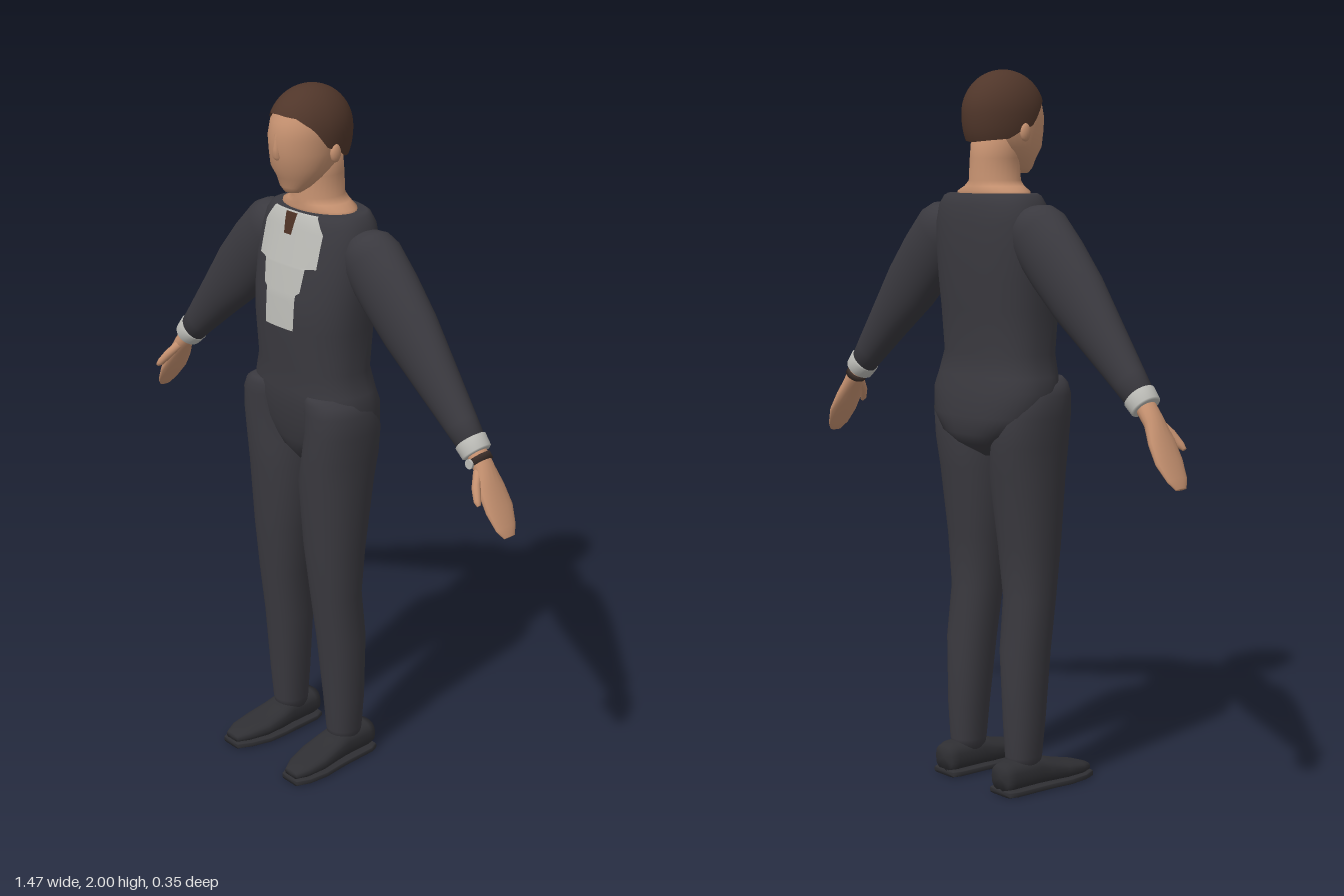
import * as THREE from 'three';

const mat = (name, color, side = THREE.FrontSide) => {
  const m = new THREE.MeshStandardMaterial({ color, side });
  m.name = name;
  return m;
};

// Point on a superellipse ring; row = [y, x, z, radiusX, radiusZ]
function ringPoint([y, x, z, rx, rz], a, n) {
  const p = (v) => Math.sign(v) * Math.abs(v) ** (2 / n);
  return [x + rx * p(Math.sin(a)), y, z + rz * p(Math.cos(a))];
}

// Skin a closed body through rows of rising y; s = -1 mirrors it in x
function loft(rows, { n = 2, s = 1, sides = 28 } = {}) {
  const pos = [], idx = [];
  const rr = rows.map(([y, x, z, rx, rz]) => [y, x * s, z, rx, rz]);
  for (const r of rr)
    for (let j = 0; j < sides; j++) pos.push(...ringPoint(r, (j / sides) * Math.PI * 2, n));
  for (let i = 0; i < rr.length - 1; i++)
    for (let j = 0; j < sides; j++) {
      const a = i * sides + j, b = i * sides + ((j + 1) % sides);
      idx.push(a, b, b + sides, a, b + sides, a + sides);
    }
  const last = (rr.length - 1) * sides, c = rr.length * sides;
  const lo = rr[0], hi = rr[rr.length - 1];
  pos.push(lo[1], lo[0], lo[2], hi[1], hi[0], hi[2]);
  for (let j = 0; j < sides; j++) {
    const k = (j + 1) % sides;
    idx.push(c, k, j, c + 1, last + j, last + k);
  }
  return build(pos, idx);
}

function build(pos, idx) {
  const g = new THREE.BufferGeometry();
  g.setAttribute('position', new THREE.Float32BufferAttribute(pos, 3));
  g.setIndex(idx);
  g.computeVertexNormals();
  return g;
}

// Piecewise linear lookup of table rows by their first column
function lookup(table, v) {
  let i = 0;
  while (i < table.length - 2 && v > table[i + 1][0]) i++;
  const a = table[i], b = table[i + 1];
  const t = THREE.MathUtils.clamp((v - a[0]) / (b[0] - a[0]), 0, 1);
  return a.map((q, k) => q + (b[k] - q) * t);
}

const TORSO_N = 2.4;
const TORSO = [
  [0.94, 0, -0.03, 0.02, 0.05], [0.98, 0, -0.05, 0.09, 0.1], [1.01, 0, -0.055, 0.15, 0.115],
  [1.06, 0, -0.05, 0.198, 0.124], [1.13, 0, -0.04, 0.207, 0.126], [1.17, 0, -0.035, 0.196, 0.12],
  [1.23, 0, -0.03, 0.178, 0.115], [1.35, 0, -0.03, 0.184, 0.125], [1.43, 0, -0.035, 0.19, 0.126],
  [1.52, 0, -0.044, 0.193, 0.121], [1.59, 0, -0.052, 0.188, 0.112], [1.635, 0, -0.055, 0.177, 0.104],
  [1.66, 0, -0.055, 0.158, 0.096], [1.666, 0, -0.055, 0.145, 0.088],
];

// Thin panel lying on the chest; outline = [y, halfWidth] with rising y
function chestPanel(outline, lift, cols = 12) {
  const pos = [], idx = [], w = cols + 1;
  const ys = new Set(outline.map((o) => o[0]));
  TORSO.forEach((r) => r[0] > outline[0][0] && r[0] < outline[outline.length - 1][0] && ys.add(r[0]));
  const list = [...ys].sort((a, b) => a - b);
  list.forEach((y, i) => {
    const half = lookup(outline, y)[1], [, , z, rx, rz] = lookup(TORSO, y);
    for (let j = 0; j <= cols; j++) {
      const x = half * ((2 * j) / cols - 1);
      pos.push(x, y, z + lift + rz * (1 - Math.abs(x / rx) ** TORSO_N) ** (1 / TORSO_N));
      if (i && j) {
        const d = i * w + j;
        idx.push(d - w - 1, d - w, d, d - w - 1, d, d - 1);
      }
    }
  });
  return build(pos, idx);
}

// Hair cap: a rounded shell whose lower edge drops from brow to nape
function hairCap() {
  const g = new THREE.SphereGeometry(1, 48, 20);
  const p = g.attributes.position, uv = g.attributes.uv;
  const edge = [[0, 64], [35, 67], [60, 82], [80, 108], [95, 112], [115, 126], [180, 132]];
  for (let i = 0; i < p.count; i++) {
    const az = uv.getX(i) * Math.PI * 2 - Math.PI;
    const th = (1 - uv.getY(i)) * THREE.MathUtils.degToRad(lookup(edge, Math.abs(az) * 180 / Math.PI)[1]);
    const r = th > Math.PI / 2 ? Math.sin(th) ** 0.45 : Math.sin(th);
    p.setXYZ(i, 0.1 * r * Math.sin(az), 1.882 + 0.118 * Math.cos(th), -0.016 + 0.124 * r * Math.cos(az));
  }
  // poles collapse in the sphere index, so rebuild the faces as a plain grid
  const idx = [];
  for (let i = 0; i < 20; i++)
    for (let j = 0; j < 48; j++) {
      const a = i * 49 + j;
      idx.push(a, a + 49, a + 50, a, a + 50, a + 1);
    }
  g.setIndex(idx);
  g.computeVertexNormals();
  return g;
}

export function createModel() {
  const suit = mat('suit charcoal', 0x3a393f), shoeMat = mat('shoe black', 0x2f2f33);
  const skin = mat('skin', 0xc4906f), hairMat = mat('hair brown', 0x50362a, THREE.DoubleSide);
  const linen = mat('shirt grey', 0xbcbcb7, THREE.DoubleSide);
  const tieMat = mat('tie brown', 0x4b3023, THREE.DoubleSide), strap = mat('strap dark', 0x3b2f2a);

  const model = new THREE.Group();
  model.name = 'man in suit';
  const add = (parent, name, geometry, material) => {
    const m = new THREE.Mesh(geometry, material);
    m.name = name;
    parent.add(m);
    return m;
  };
  const body = new THREE.Group();
  body.name = 'body';
  body.position.x = -0.012;
  model.add(body);

  // Jacket, shirt front and tie
  add(body, 'jacket', loft(TORSO, { n: TORSO_N, sides: 48 }), suit);
  add(body, 'shirtFront', chestPanel([[1.35, 0.056], [1.45, 0.058], [1.46, 0.072], [1.525, 0.08],
    [1.53, 0.114], [1.62, 0.115], [1.664, 0.085]], 0.004), linen);
  add(body, 'tie', chestPanel([[1.605, 0.014], [1.662, 0.022]], 0.009, 4), tieMat);

  // Neck with the bare collar area, head, nose and hair
  add(body, 'neck', loft([[1.64, 0, -0.05, 0.13, 0.08], [1.672, 0, -0.05, 0.122, 0.079],
    [1.685, 0, -0.048, 0.09, 0.077], [1.7, 0, -0.046, 0.067, 0.075],
    [1.76, 0, -0.047, 0.064, 0.071], [1.83, 0, -0.045, 0.062, 0.066]]), skin);
  add(body, 'head', loft([[1.72, 0, 0.045, 0.026, 0.022], [1.735, 0, 0.036, 0.045, 0.04],
    [1.76, 0, 0.022, 0.064, 0.06], [1.79, 0, 0.012, 0.082, 0.087], [1.83, 0, 0.002, 0.09, 0.102],
    [1.87, 0, 0, 0.093, 0.107], [1.91, 0, -0.005, 0.092, 0.102], [1.95, 0, -0.012, 0.077, 0.084],
    [1.98, 0, -0.015, 0.04, 0.045]], { sides: 36 }), skin);
  add(body, 'nose', loft([[1.81, 0, 0.094, 0.008, 0.006], [1.822, 0, 0.1, 0.014, 0.012],
    [1.845, 0, 0.1, 0.01, 0.011], [1.885, 0, 0.098, 0.006, 0.007]], { sides: 12 }), skin);
  add(body, 'hair', hairCap(), hairMat);

  for (const s of [1, -1]) {
    const side = s > 0 ? 'left' : 'right';

    const ear = add(body, side + 'Ear', new THREE.SphereGeometry(1, 14, 10), skin);
    ear.scale.set(0.011, 0.025, 0.017);
    ear.position.set(s * 0.096, 1.83, -0.02);

    // Trouser leg
    add(body, side + 'Leg', loft([[0.07, 0.12, -0.046, 0.043, 0.05], [0.1, 0.12, -0.045, 0.048, 0.053],
      [0.2, 0.12, -0.043, 0.056, 0.06], [0.4, 0.115, -0.035, 0.069, 0.07], [0.55, 0.112, -0.016, 0.074, 0.071],
      [0.7, 0.108, -0.014, 0.087, 0.085], [0.9, 0.106, -0.02, 0.1, 0.106], [0.98, 0.119, -0.023, 0.092, 0.113],
      [1.06, 0.13, -0.022, 0.086, 0.114], [1.12, 0.128, -0.012, 0.085, 0.105],
      [1.15, 0.122, 0, 0.074, 0.091], [1.165, 0.118, 0.01, 0.05, 0.074]], { n: 2.2, s }), suit);

    // Shoe and sole, lofted heel to toe and then laid along z
    const shoe = new THREE.Group();
    shoe.name = side + 'Shoe';
    shoe.position.x = s * 0.123;
    body.add(shoe);
    const upper = [[-0.135, 0, -0.05, 0.036, 0.036], [-0.11, 0, -0.053, 0.045, 0.041],
      [-0.02, 0, -0.054, 0.049, 0.042], [0.02, 0, -0.047, 0.052, 0.035], [0.08, 0.004, -0.038, 0.055, 0.026],
      [0.14, 0.01, -0.032, 0.044, 0.019], [0.175, 0.012, -0.027, 0.026, 0.012]];
    const sole = upper.map(([z, x, , w], i) => [z + (i === 6 ? 0.005 : 0), x, -0.009, w + 0.007, 0.009]);
    add(shoe, 'shoeUpper', loft(upper, { n: 2.6, s }).rotateX(Math.PI / 2), shoeMat);
    add(shoe, 'shoeSole', loft(sole, { n: 6, s }).rotateX(Math.PI / 2), shoeMat);

    // Arm, built hanging down and swung outward
    const arm = new THREE.Group();
    arm.name = side + 'Arm';
    arm.position.set(s * 0.2 - 0.006, 1.555, -0.055);
    arm.rotation.z = s * 0.765;
    model.add(arm);
    add(arm, 'sleeve', loft([[-0.56, 0, 0, 0.043, 0.035], [-0.5, 0, 0, 0.05, 0.042], [-0.35, 0, 0, 0.071, 0.055],
      [-0.22, 0, 0, 0.092, 0.063], [-0.1, 0, 0, 0.098, 0.07], [0, 0, 0, 0.095, 0.074],
      [0.04, 0, 0, 0.078, 0.067], [0.065, 0, 0, 0.05, 0.05], [0.078, 0, 0, 0.02, 0.02]], { s }), suit);
    add(arm, 'cuff', loft([[-0.588, 0, 0, 0.036, 0.036], [-0.584, 0, 0, 0.042, 0.042],
      [-0.55, 0, 0, 0.046, 0.043], [-0.545, 0, 0, 0.04, 0.035]], { s }), linen);
    add(arm, 'hand', loft([[-0.815, -0.045, 0, 0.005, 0.02], [-0.79, -0.04, 0, 0.01, 0.036],
      [-0.74, -0.03, -0.002, 0.016, 0.048], [-0.685, -0.018, 0, 0.021, 0.045],
      [-0.63, -0.004, 0, 0.024, 0.031], [-0.57, 0, 0, 0.027, 0.028]], { s, sides: 16 }), skin);
    add(arm, 'thumb', loft([[-0.715, -0.02, 0.064, 0.006, 0.006], [-0.7, -0.02, 0.06, 0.011, 0.011],
      [-0.665, -0.015, 0.045, 0.013, 0.014], [-0.625, -0.008, 0.018, 0.012, 0.014]], { s, sides: 12 }), skin);

    // Wristwatch on the left arm only
    if (s > 0) {
      add(arm, 'watchStrap', loft([[-0.615, -0.001, 0, 0.029, 0.034], [-0.597, -0.001, 0, 0.031, 0.033]]), strap);
      const dial = add(arm, 'watchDial', new THREE.CylinderGeometry(0.013, 0.013, 0.008, 20), linen);
      dial.rotation.x = Math.PI / 2;
      dial.position.set(-0.008, -0.606, 0.035);
    }
  }
  return model;
}
